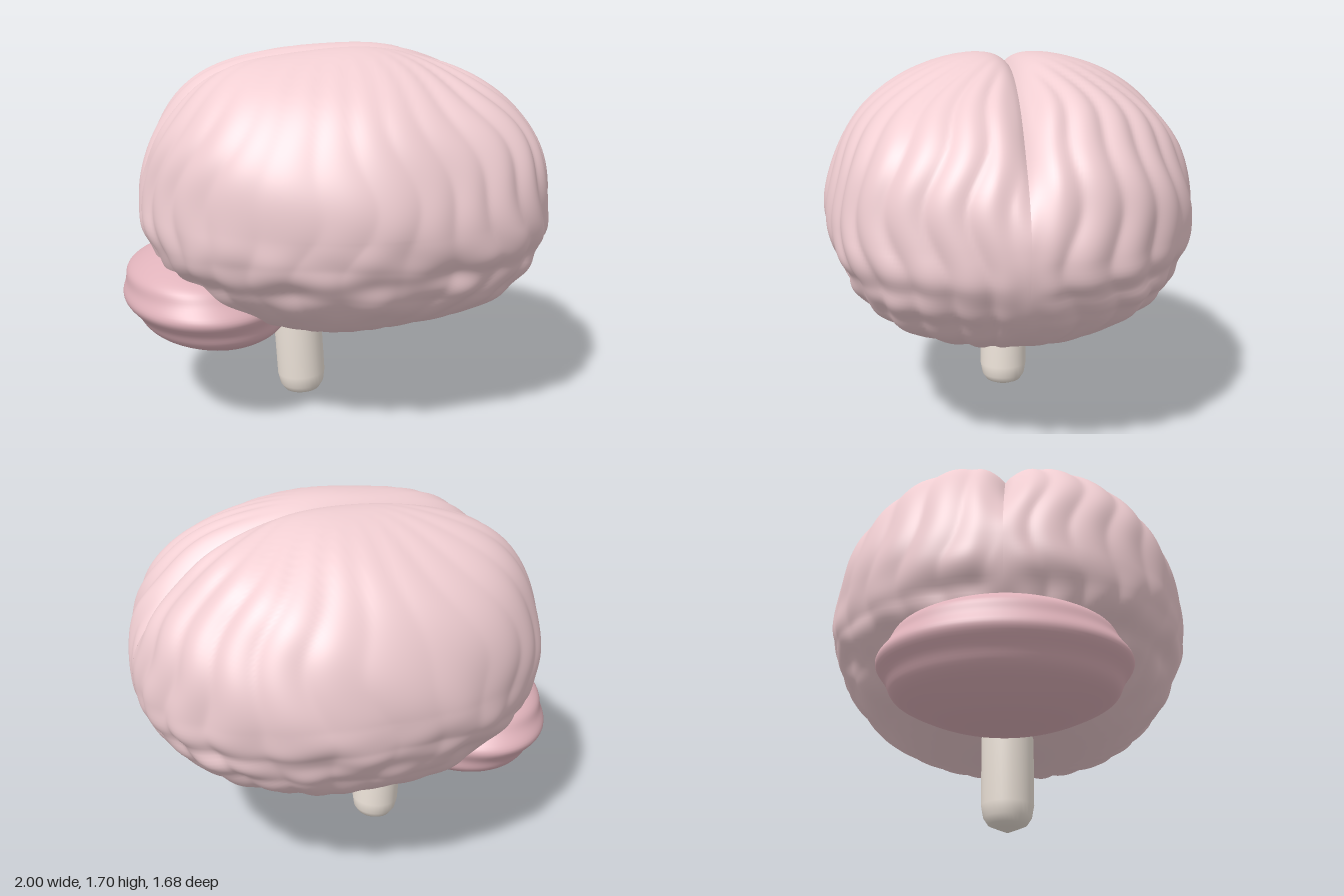
import * as THREE from 'three';
import { mergeVertices } from 'three/addons/utils/BufferGeometryUtils.js';

const { smoothstep } = THREE.MathUtils;
const gauss = (t, w) => Math.exp(-(t * t) / (w * w));

// Rounded ridges with narrower valleys, roughly -1..1
const ridge = (t) => 1.9 * Math.sqrt(Math.sin(t) ** 2 + 0.04) - 1.15;

// Push every vertex of a geometry through a rule, then weld and smooth it
function sculpt(geometry, rule) {
  geometry.deleteAttribute('uv');
  geometry.deleteAttribute('normal');
  const g = mergeVertices(geometry, 1e-5);
  const pos = g.attributes.position;
  const v = new THREE.Vector3();
  for (let i = 0; i < pos.count; i++) {
    rule(v.fromBufferAttribute(pos, i));
    pos.setXYZ(i, v.x, v.y, v.z);
  }
  g.computeVertexNormals();
  return g;
}

// Height of the folds on a unit direction n; each side has its own pattern
function folds(n, side) {
  const z = Math.abs(n.z);
  const warp = 0.06 * Math.sin(4 * n.y + 3 * n.x + side) + 0.03 * Math.sin(9 * n.y - 4 * n.x);
  // Upright folds fanning out from the crown, strongest toward the front end
  const around = Math.atan2(z, n.x) + warp;
  const spread = smoothstep(Math.hypot(n.x, z), 0.12, 0.6);
  const strength = 0.004 + 0.01 * smoothstep(n.x, 0, 0.7) + 0.006 * smoothstep(-n.x, 0.4, 0.9);
  let h = strength * spread * ridge(around * (side > 0 ? 15 : 13));
  // Broad uneven swellings
  h += 0.009 * Math.sin(7 * n.x + 5 * n.y * side + 1) * Math.sin(6 * n.y - 3 * n.x + side);
  // Level folds along the lower half and small knobs below them
  const low = gauss(n.y + 0.42, 0.3);
  h += (side > 0 ? 0.003 : 0.007) * low * ridge(13 * n.y + 8 * warp);
  h += 0.01 * low * Math.sin(17 * n.x + 4 * n.y) * Math.sin(15 * n.y - 3 * n.x);
  // Shallow groove above the lower lobe
  h -= 0.014 * gauss(n.y + 0.36 - 0.12 * n.x, 0.08) * smoothstep(z, 0.3, 0.7);
  // Both halves level out where they meet
  return h * smoothstep(z, 0, 0.16);
}

// One half of the cerebrum: a half ellipsoid with folds and a central fissure
function hemisphere(side) {
  const half = new THREE.SphereGeometry(1, 176, 100, 0, Math.PI * 2, 0, Math.PI / 2);
  half.rotateX(side * Math.PI / 2);
  const e = 2.08;
  return sculpt(half, (v) => {
    const n = v.clone();
    const z = Math.abs(n.z);
    const box = (Math.abs(n.x) ** e + Math.abs(n.y) ** e + z ** e) ** (-1 / e);
    const fissure = 0.1 * Math.exp(-z / 0.08) * smoothstep(n.y, 0.05, 0.65);
    // Fuller crown at the back, and a fuller front corner on the left side
    const crown = 0.045 * gauss(n.x + 0.66, 0.3) * gauss(n.y - 0.72, 0.35);
    const corner = side > 0 ? 0.05 * gauss(n.x - 0.7, 0.3) * gauss(n.z - 0.7, 0.3) : 0;
    const r = box * (1 + folds(n, side) - fissure + crown + corner);
    v.set(0.04 + n.x * 0.95 * r, 1.0 + n.y * (n.y > 0 ? 0.72 : 0.605) * r, n.z * 0.835 * r);
  });
}

export function createModel() {
  const model = new THREE.Group();
  const add = (name, geometry, color) => {
    const mesh = new THREE.Mesh(geometry, new THREE.MeshStandardMaterial({ color, side: THREE.DoubleSide }));
    mesh.name = name;
    model.add(mesh);
    return mesh;
  };

  // Cerebrum
  add('leftSideLobe', hemisphere(1), 0xf0ced2);
  add('rightSideLobe', hemisphere(-1), 0xf0ced2);

  // Cerebellum: flattened ellipsoid with level ridges, leaning back at the top
  const cerebellum = sculpt(new THREE.SphereGeometry(1, 96, 64), (v) => {
    const ring = 1 + 0.022 * Math.sin(v.y * 11 + 1.2) * smoothstep(1 - Math.abs(v.y), 0, 0.5);
    v.set(-0.615 + v.x * 0.375 * ring - v.y * 0.08, 0.565 + v.y * 0.24, v.z * 0.52 * ring);
  });
  add('cerebellum', cerebellum, 0xdfb2ba);

  // Brain stem: a column with a rounded, slightly pointed end
  const outline = [[0, 0], [0.05, 0.02], [0.085, 0.035], [0.105, 0.065], [0.115, 0.12], [0.115, 0.4], [0.115, 0.65], [0, 0.66]];
  const stem = add('brainStem', new THREE.LatheGeometry(outline.map(([x, y]) => new THREE.Vector2(x, y)), 32), 0xeee4da);
  stem.position.set(-0.16, 0, 0);
  stem.rotation.z = 0.06;

  return model;
}
